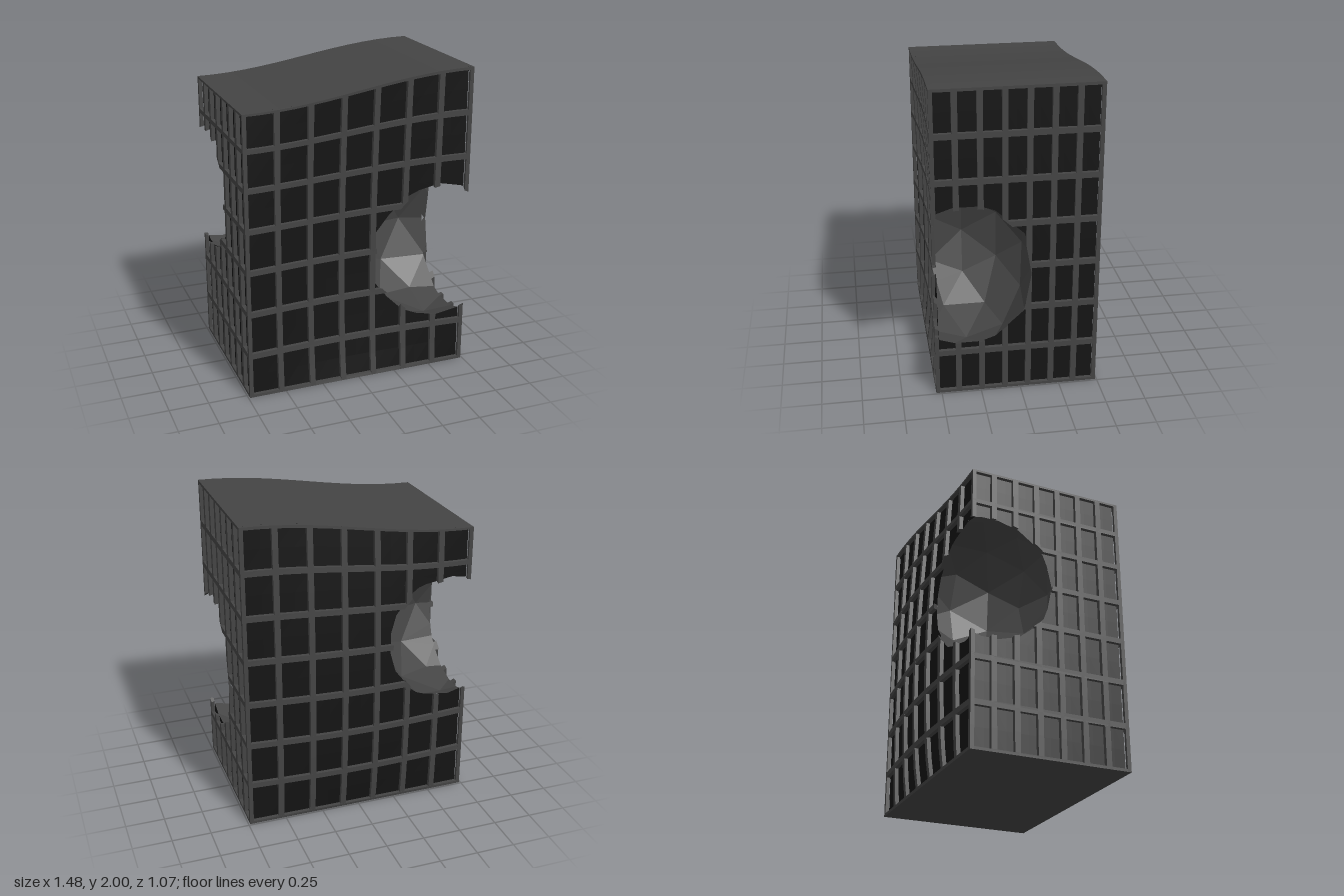
import * as THREE from 'three';

const X = 0.74, H = 2, BACK = -0.49, FRONT = 0.535; // undeformed block
const N = 7, BAR = 0.018, DEPTH = 0.025, DIV = 14;  // window grid, bar half width, recess

// Sloping wavy top, and front and back walls that bow backwards
function deform([x, y, z]) {
  const t = Math.max(y / H, 0), a = (Math.PI / 2) * (x / X);
  return [
    x,
    y - 0.16 * t ** 3 * (0.5 - 0.5 * Math.sin(a)),
    z - 0.048 * Math.sin(Math.PI * Math.min(t, 1) ** 0.75) * Math.cos(a),
  ];
}

// Keeps the part of a convex polygon where side * (n.p - d) >= 0
function clip(poly, { n, d }, side) {
  const out = [];
  const dist = (p) => side * (n[0] * p[0] + n[1] * p[1] + n[2] * p[2] - d);
  poly.forEach((p, i) => {
    const q = poly[(i + 1) % poly.length], a = dist(p), b = dist(q);
    if (a >= 0) out.push(p);
    if ((a > 0 && b < 0) || (a < 0 && b > 0)) {
      out.push(p.map((c, k) => c + (q[k] - c) * (a / (a - b))));
    }
  });
  return out.length > 2 ? out : null;
}

// Faceted ball used as a cutter: its faces and their planes
function makeCutter(center, radii) {
  const pos = new THREE.IcosahedronGeometry(1, 1).rotateY(Math.PI / 2)
    .scale(...radii).translate(...center).getAttribute('position');
  const faces = [], planes = [];
  for (let i = 0; i < pos.count; i += 3) {
    const v = [0, 1, 2].map((k) => new THREE.Vector3().fromBufferAttribute(pos, i + k));
    const plane = new THREE.Plane().setFromCoplanarPoints(...v);
    faces.push(v.map((p) => p.toArray()));
    planes.push({ n: plane.normal.toArray(), d: -plane.constant });
  }
  return { faces, planes };
}

// Pieces of a polygon that lie outside a cutter
function subtract(poly, { planes }) {
  if (planes.some((pl) => !clip(poly, pl, -1))) return [poly];
  const pieces = [];
  let rest = poly;
  for (const pl of planes) {
    const outside = clip(rest, pl, 1);
    if (outside) pieces.push(outside);
    rest = clip(rest, pl, -1);
    if (!rest) return pieces;
  }
  return pieces;
}

// Box with the cutters removed; emits wall, cap and cavity polygons
function cutBox(min, max, divs, cutters, emit) {
  for (let a = 0; a < 3; a++) {
    const u = (a + 1) % 3, v = (a + 2) % 3;
    for (const s of [0, 1]) {
      for (let i = 0; i < divs[u]; i++) {
        for (let j = 0; j < divs[v]; j++) {
          const corner = (di, dj) => {
            const p = [0, 0, 0];
            p[a] = s ? max[a] : min[a];
            p[u] = min[u] + ((max[u] - min[u]) * (i + di)) / divs[u];
            p[v] = min[v] + ((max[v] - min[v]) * (j + dj)) / divs[v];
            return p;
          };
          const quad = [corner(0, 0), corner(1, 0), corner(1, 1), corner(0, 1)];
          if (!s) quad.reverse();
          let pieces = [quad];
          for (const c of cutters) pieces = pieces.flatMap((p) => subtract(p, c));
          for (const p of pieces) emit(p, a === 1 ? 'cap' : 'wall');
        }
      }
    }
  }
  for (const c of cutters) {
    for (const face of c.faces) {
      let p = [...face].reverse();
      for (let a = 0; a < 3 && p; a++) {
        const n = [0, 0, 0];
        n[a] = 1;
        p = clip(p, { n, d: min[a] }, 1);
        if (p) p = clip(p, { n, d: max[a] }, -1);
      }
      if (p) emit(p, 'cavity');
    }
  }
}

function makeMesh(name, polys, color) {
  const pos = [];
  for (const poly of polys) {
    const q = poly.map(deform);
    for (let i = 1; i < q.length - 1; i++) pos.push(...q[0], ...q[i], ...q[i + 1]);
  }
  const geo = new THREE.BufferGeometry();
  geo.setAttribute('position', new THREE.Float32BufferAttribute(pos, 3));
  geo.computeVertexNormals();
  const mesh = new THREE.Mesh(geo, new THREE.MeshStandardMaterial({ color }));
  mesh.name = name;
  return mesh;
}

export function createModel() {
  const group = new THREE.Group();
  group.name = 'damagedBuilding';
  const cutters = [
    makeCutter([0.56, 0.8, 0.33], [0.52, 0.52, 0.44]),
    makeCutter([-0.62, 1.16, -0.36], [0.46, 0.48, 0.44]),
  ];
  const parts = { wall: [], cap: [], cavity: [], bars: [] };

  // Core block: dark glazing on the sides, roof and base, broken hollows
  cutBox([-X + DEPTH, 0, BACK + DEPTH], [X - DEPTH, H, FRONT - DEPTH],
    [DIV, DIV, DIV], cutters, (p, kind) => parts[kind].push(p));

  // Grid bars on all four sides
  const bar = (min, max, divs) => cutBox(min, max, divs, cutters, (p) => parts.bars.push(p));
  const span = (lo, hi, i) => {
    const c = lo + ((hi - lo) * i) / N;
    return [Math.max(lo, c - BAR), Math.min(hi, c + BAR)];
  };
  for (let i = 0; i <= N; i++) {
    const [y0, y1] = span(0, H, i), [x0, x1] = span(-X, X, i), [z0, z1] = span(BACK, FRONT, i);
    for (const z of [BACK, FRONT - DEPTH]) {
      bar([-X, y0, z], [X, y1, z + DEPTH], [DIV, 1, 1]);
      bar([x0, 0, z], [x1, H, z + DEPTH], [1, DIV, 1]);
    }
    for (const x of [-X, X - DEPTH]) {
      bar([x, y0, BACK], [x + DEPTH, y1, FRONT], [1, 1, 1]);
      bar([x, 0, z0], [x + DEPTH, H, z1], [1, DIV, 1]);
    }
  }

  group.add(
    makeMesh('windowPanels', parts.wall, 0x141414),
    makeMesh('roofAndBase', parts.cap, 0x444444),
    makeMesh('brokenHollows', parts.cavity, 0x444444),
    makeMesh('windowBars', parts.bars, 0x444444),
  );
  return group;
}
